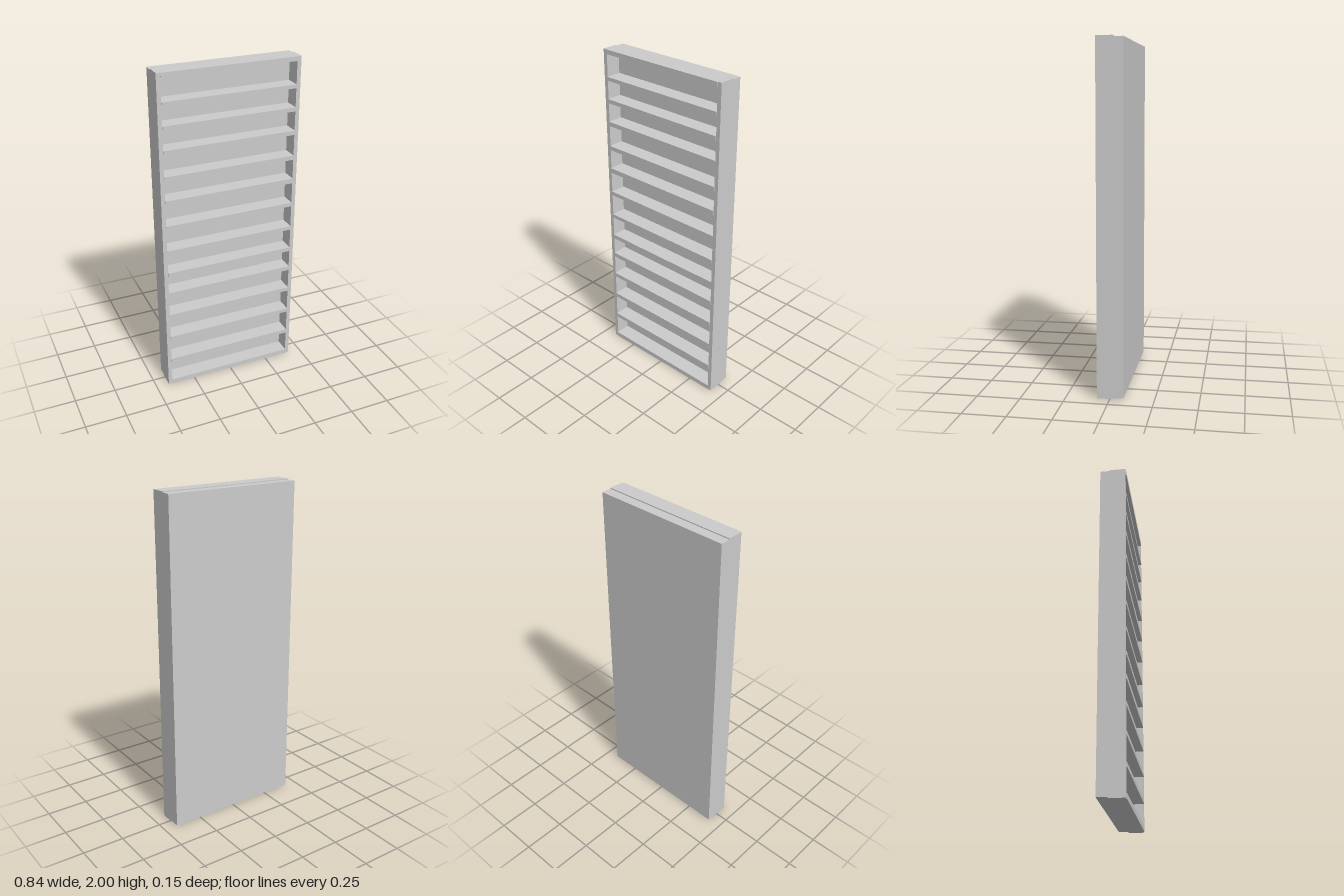
import * as THREE from 'three';

const material = new THREE.MeshStandardMaterial({ color: 0xcccccc, flatShading: true });

// Box given by its limits on each axis
function board(name, [x0, x1], [y0, y1], [z0, z1]) {
  const mesh = new THREE.Mesh(new THREE.BoxGeometry(x1 - x0, y1 - y0, z1 - z0), material);
  mesh.name = name;
  mesh.position.set((x0 + x1) / 2, (y0 + y1) / 2, (z0 + z1) / 2);
  return mesh;
}

export function createModel() {
  const group = new THREE.Group();
  group.name = 'shelfRack';

  const W = 0.421, inner = 0.397;              // half widths, outside and between the sides
  const back = -0.077, panelFront = -0.018;    // thick back panel
  const sideFront = 0.074, shelfFront = 0.077; // shelves stand slightly proud of the sides

  // Back panel, a little shorter than the frame
  group.add(board('backPanel', [-W, W], [0.007, 1.994], [back, panelFront]));

  // Upright sides
  group.add(board('leftSide', [inner, W], [0, 2], [panelFront, sideFront]));
  group.add(board('rightSide', [-W, -inner], [0, 2], [panelFront, sideFront]));

  // Bottom board, unevenly spaced shelves and top board: [underside, upper face]
  const levels = [
    [0, 0.03], [0.165, 0.19], [0.33, 0.355], [0.49, 0.515], [0.643, 0.67],
    [0.78, 0.805], [0.93, 0.953], [1.088, 1.112], [1.24, 1.27], [1.39, 1.416],
    [1.544, 1.57], [1.685, 1.709], [1.82, 1.842], [1.974, 2],
  ];
  levels.forEach((level, i) => {
    const name = i === 0 ? 'bottomBoard' : i === levels.length - 1 ? 'topBoard' : `shelf${i}`;
    group.add(board(name, [-inner, inner], level, [panelFront, shelfFront]));
  });

  return group;
}
